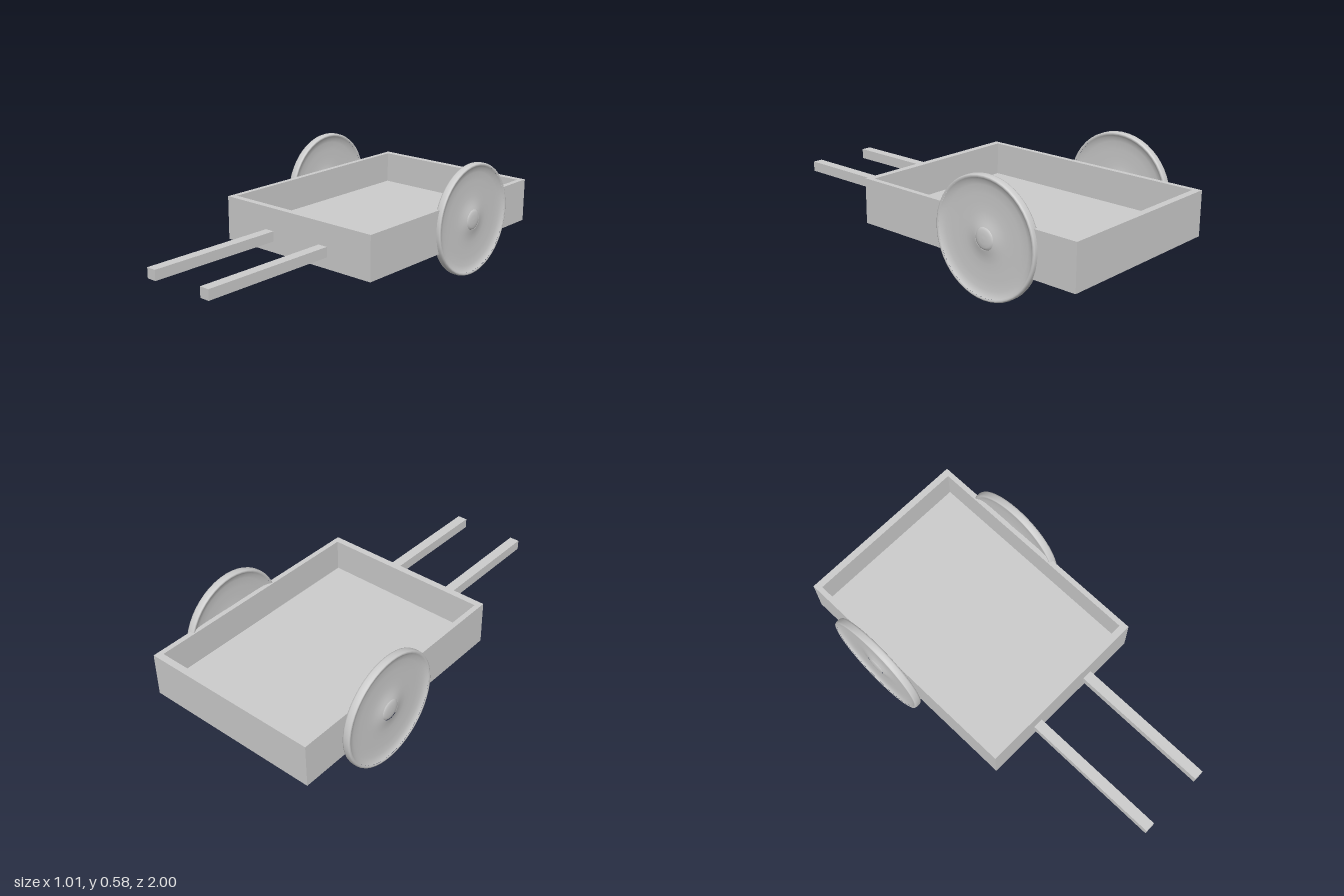
import * as THREE from 'three';

const grey = new THREE.MeshStandardMaterial({ color: 0xcccccc });
grey.name = 'light grey';

function add(parent, name, geometry, x = 0, y = 0, z = 0) {
  const mesh = new THREE.Mesh(geometry, grey);
  mesh.name = name;
  mesh.position.set(x, y, z);
  parent.add(mesh);
  return mesh;
}

// Box given by its lower and upper limits on each axis
function block(parent, name, [x0, x1], [y0, y1], [z0, z1]) {
  return add(parent, name, new THREE.BoxGeometry(x1 - x0, y1 - y0, z1 - z0),
    (x0 + x1) / 2, (y0 + y1) / 2, (z0 + z1) / 2);
}

// Surface of revolution around the x axis, from [radius, x] pairs
function turned(parent, name, points) {
  const profile = points.map(([r, x]) => new THREE.Vector2(r, x));
  const geometry = new THREE.LatheGeometry(profile, 48);
  geometry.rotateZ(-Math.PI / 2);
  return add(parent, name, geometry);
}

// Thin wheel with a rounded rim, and a dished face and domed hub on both sides
function makeWheel(name) {
  const wheel = new THREE.Group();
  wheel.name = name;
  turned(wheel, 'rim', [
    [0.273, -0.017], [0.279, -0.02], [0.285, -0.018], [0.288, -0.01],
    [0.288, 0.01], [0.285, 0.018], [0.279, 0.02], [0.273, 0.017],
  ]);
  const face = [
    [0.273, 0.017], [0.262, 0.009], [0.24, 0.002], [0.2, -0.003], [0.16, -0.004],
    [0.12, -0.001], [0.09, 0.004], [0.07, 0.009], [0.053, 0.014],
  ].map(([r, x]) => [r, Math.max(x, 0) * 0.85 + 0.002 + (x < 0 ? 0.0002 * r : 0)]);
  const hub = [[0.053, 0.008], [0.05, 0.013], [0.04, 0.017], [0.022, 0.0195], [0, 0.02]];
  for (const side of [1, -1]) {
    const half = new THREE.Group();
    half.name = side > 0 ? 'outerSide' : 'innerSide';
    turned(half, 'dishedFace', face);
    turned(half, 'hub', hub);
    if (side < 0) half.rotation.y = Math.PI;
    wheel.add(half);
  }
  return wheel;
}

export function createModel() {
  const cart = new THREE.Group();
  cart.name = 'handcart';

  // Open tray: floor and four walls
  const tray = new THREE.Group();
  tray.name = 'tray';
  cart.add(tray);
  const outline = (x0, x1, z0, z1, Type) => new Type().setFromPoints([
    new THREE.Vector2(x0, -z1), new THREE.Vector2(x1, -z1),
    new THREE.Vector2(x1, -z0), new THREE.Vector2(x0, -z0),
  ]);
  const walls = outline(-0.445, 0.485, -1, 0.27, THREE.Shape);
  walls.holes.push(outline(-0.418, 0.458, -0.965, 0.235, THREE.Path));
  const wallGeometry = new THREE.ExtrudeGeometry(walls, { depth: 0.225, bevelEnabled: false });
  wallGeometry.rotateX(-Math.PI / 2);
  add(tray, 'walls', wallGeometry, 0, 0.17, 0);
  block(tray, 'floor', [-0.418, 0.458], [0.17, 0.23], [-0.965, 0.235]);

  // Two pulling shafts
  for (const [name, x] of [['rightShaft', -0.153], ['leftShaft', 0.195]]) {
    block(cart, name, [x - 0.026, x + 0.026], [0.227, 0.279], [0.26, 1]);
  }

  // Pair of wheels
  for (const [name, x] of [['rightWheel', -0.485], ['leftWheel', 0.485]]) {
    const wheel = makeWheel(name);
    wheel.position.set(x, 0.288, -0.51);
    cart.add(wheel);
  }
  return cart;
}
